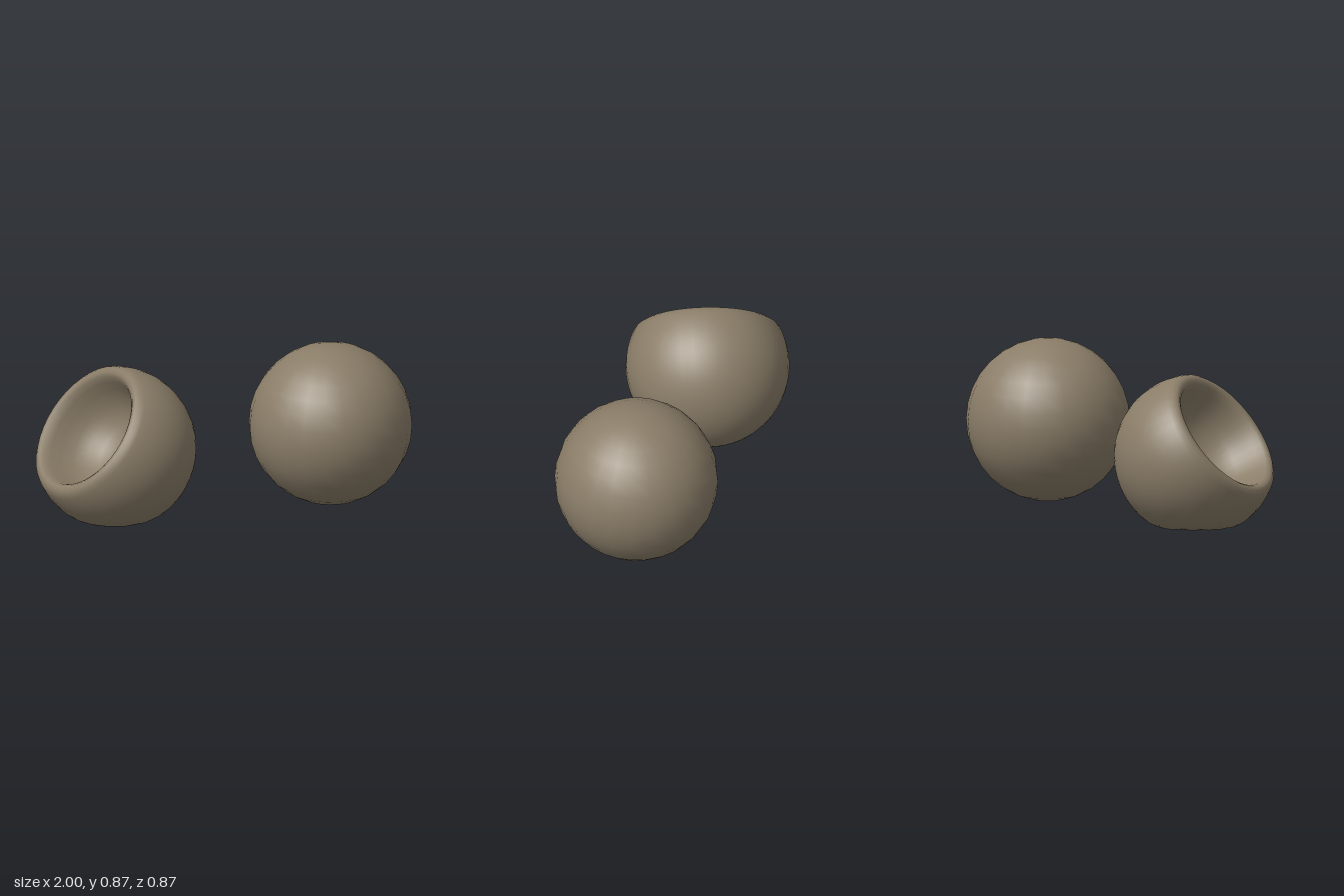
import * as THREE from 'three';
import { mergeVertices } from 'three/addons/utils/BufferGeometryUtils.js';

const R = 0.433;

// Scooped ball: lathe around the scoop axis, then press a shallow dent into the base
function scoopedGeometry(centreY) {
  const pts = [];
  const rimAngle = Math.acos(0.18 / R);
  const steps = 26;
  for (let i = 0; i <= steps; i++) {
    const a = Math.PI - (Math.PI - rimAngle) * (i / steps);
    pts.push(new THREE.Vector2(i === 0 ? 0 : R * Math.sin(a), R * Math.cos(a)));
  }
  // broad rounded rim and the hollow inside it
  const inner = [
    [0.38, 0.203], [0.36, 0.217], [0.338, 0.219], [0.318, 0.205], [0.302, 0.17], [0.285, 0.115],
    [0.258, 0.05], [0.215, -0.01], [0.155, -0.05], [0.08, -0.075], [0, -0.08],
  ];
  inner.forEach(([r, y]) => pts.push(new THREE.Vector2(r, y)));

  let geo = new THREE.LatheGeometry(pts, 40);
  geo.deleteAttribute('uv');
  geo.deleteAttribute('normal');
  geo = mergeVertices(geo, 1e-4);

  const axis = new THREE.Vector3(-0.747, 0.606, 0.273).normalize();
  geo.applyQuaternion(new THREE.Quaternion().setFromUnitVectors(new THREE.Vector3(0, 1, 0), axis));

  // hollow base, blended softly into the ball
  const pos = geo.attributes.position;
  const baseR = Math.sqrt(R * R - centreY * centreY);
  const blend = 0.04;
  for (let i = 0; i < pos.count; i++) {
    const y = pos.getY(i);
    const q = Math.min(1, Math.hypot(pos.getX(i), pos.getZ(i)) / baseR);
    const base = -centreY - 0.009 + 0.06 * (1 - q * q) ** 1.3;
    const soft = Math.max(0, blend - Math.abs(y - base));
    pos.setY(i, Math.max(y, base) + soft * soft / (4 * blend));
  }
  geo.computeVertexNormals();
  return geo;
}

export function createModel() {
  const group = new THREE.Group();
  const clay = new THREE.MeshStandardMaterial({ color: 0x8a7d68 });
  clay.name = 'clay brown';

  // whole ball
  const ball = new THREE.Mesh(new THREE.SphereGeometry(R, 24, 16), clay);
  ball.name = 'wholeBall';
  ball.position.set(0.568, 0.44, 0);
  group.add(ball);

  // hollowed ball
  const y = 0.373;
  const bowl = new THREE.Mesh(scoopedGeometry(y), clay);
  bowl.name = 'hollowedBall';
  bowl.position.set(-0.592, y, 0);
  group.add(bowl);

  return group;
}
